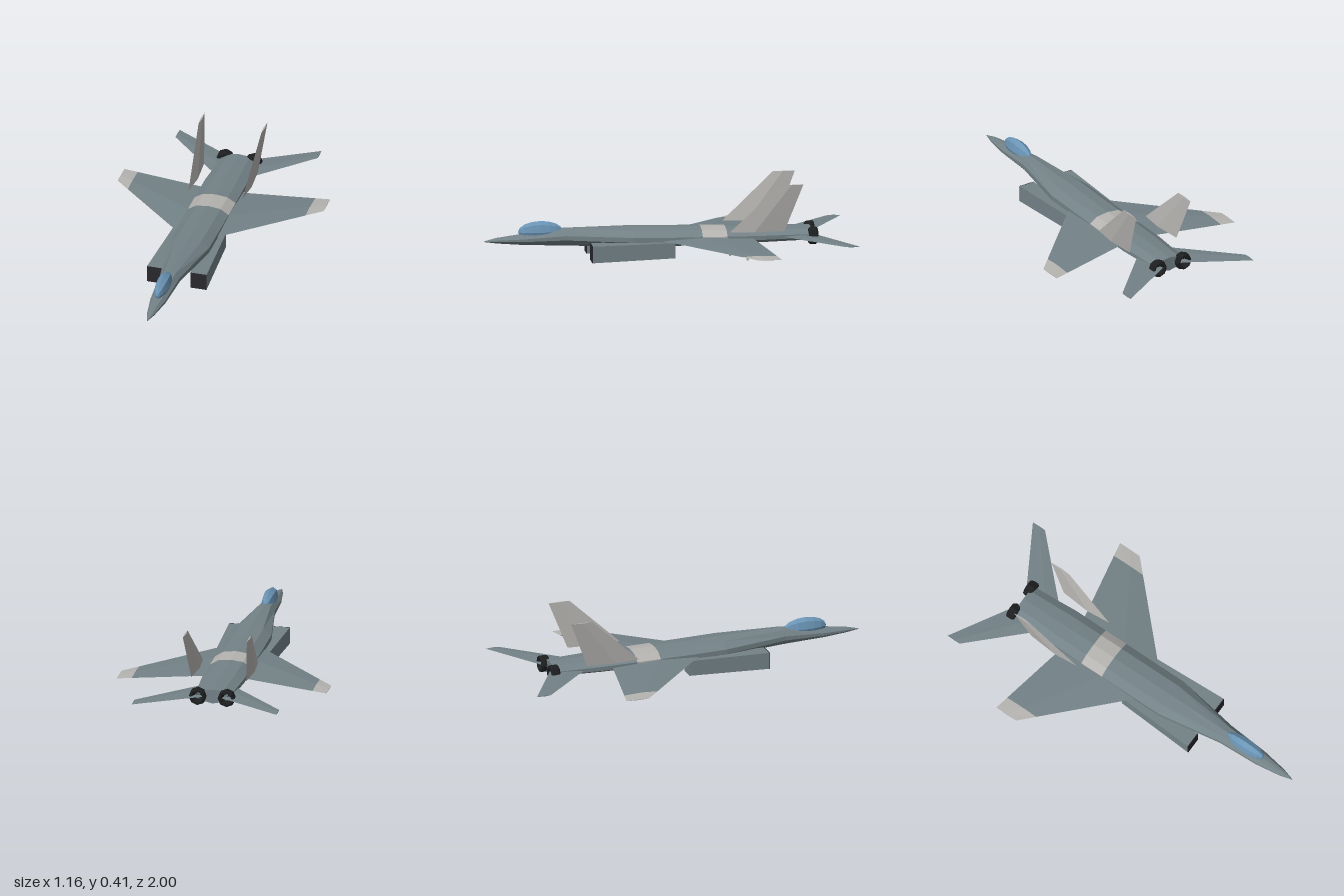
import * as THREE from 'three';

const mat = (color, side = THREE.FrontSide) =>
  new THREE.MeshStandardMaterial({ color, side, flatShading: true, roughness: 0.8 });
const HULL = mat(0x738287), PALE = mat(0xb5b3b0), GLASS = mat(0x6a94b5);
const DARK = mat(0x27272d), NOZZLE = mat(0x1c1e20, THREE.DoubleSide);

// Skins a list of equal-length rings and caps both ends; always winds outward.
function loft(rings) {
  const pos = [];
  const tri = (...pts) => pts.forEach((p) => pos.push(...p));
  const n = rings[0].length;
  for (let i = 0; i < rings.length - 1; i++) {
    for (let j = 0; j < n; j++) {
      const k = (j + 1) % n, a = rings[i], b = rings[i + 1];
      tri(a[j], a[k], b[k]);
      tri(a[j], b[k], b[j]);
    }
  }
  const last = rings[rings.length - 1];
  for (let j = 1; j < n - 1; j++) {
    tri(rings[0][0], rings[0][j + 1], rings[0][j]);
    tri(last[0], last[j], last[j + 1]);
  }
  // a negative signed volume means the faces point inward
  let volume = 0;
  const [a, b, c] = [0, 1, 2].map(() => new THREE.Vector3());
  for (let i = 0; i < pos.length; i += 9) {
    a.fromArray(pos, i); b.fromArray(pos, i + 3); c.fromArray(pos, i + 6);
    volume += a.dot(b.cross(c));
  }
  if (volume < 0) {
    for (let i = 0; i < pos.length; i += 9) {
      for (let k = 3; k < 6; k++) [pos[i + k], pos[i + k + 3]] = [pos[i + k + 3], pos[i + k]];
    }
  }
  const geo = new THREE.BufferGeometry();
  geo.setAttribute('position', new THREE.Float32BufferAttribute(pos, 3));
  geo.computeVertexNormals();
  return geo;
}

// Fuselage cross-section: half-width w, top t, bottom b at station z
function hullRing([z, w, t, b]) {
  const h = t - b, m = b + 0.5 * h;
  const half = [[0.6, t - 0.08 * h], [1, m + 0.14 * h], [1, m - 0.1 * h], [0.6, b + 0.16 * h]];
  return [[0, t, z], ...half.map(([x, y]) => [x * w, y, z]),
    [0, b, z], ...half.reverse().map(([x, y]) => [-x * w, y, z])];
}

// Diamond aerofoil in a flat wing: span x, height y, leading/trailing z, half-thickness
const wingRing = (s, [x, y, le, te, th]) => {
  const mid = le + (te - le) * 0.45;
  return [[s * x, y, le], [s * x, y + th, mid], [s * x, y, te], [s * x, y - th, mid]];
};

// Same aerofoil for an upright fin
const finRing = (s, [x, y, le, te, th]) => {
  const mid = le + (te - le) * 0.45;
  return [[s * x, y, le], [s * (x + th), y, mid], [s * x, y, te], [s * (x - th), y, mid]];
};

export function createModel() {
  const model = new THREE.Group();
  const add = (name, geo, material, parent = model) => {
    const mesh = new THREE.Mesh(geo, material);
    mesh.name = name;
    parent.add(mesh);
    return mesh;
  };

  // Fuselage: nose section, pale band, tail section
  const bandFront = [-0.18, 0.115, 0.154, 0.048], bandBack = [-0.315, 0.115, 0.151, 0.05];
  const hull = (name, rows, m) => add(name, loft(rows.map(hullRing)), m);
  hull('frontFuselage', [
    [1, 0.002, 0.102, 0.098], [0.93, 0.021, 0.119, 0.088], [0.79, 0.042, 0.137, 0.076],
    [0.56, 0.055, 0.166, 0.066], [0.2, 0.115, 0.163, 0.05], [0, 0.115, 0.158, 0.045], bandFront,
  ], HULL);
  hull('fuselageBand', [bandFront, bandBack], PALE);
  hull('rearFuselage', [bandBack, [-0.51, 0.115, 0.147, 0.054],
    [-0.62, 0.107, 0.144, 0.057], [-0.78, 0.098, 0.14, 0.061]], HULL);

  // Canopy
  const canopy = new THREE.SphereGeometry(1, 8, 8);
  canopy.rotateX(Math.PI / 2);
  canopy.scale(0.038, 0.058, 0.122);
  canopy.translate(0, 0.148, 0.692);
  add('canopy', canopy, GLASS);

  for (const s of [1, -1]) {
    const side = new THREE.Group();
    side.name = s > 0 ? 'leftSide' : 'rightSide';
    model.add(side);

    // Main wing with a pale tip
    const wing = (name, ring, rows, m) => add(name, loft(rows.map((r) => ring(s, r))), m, side);
    const outer = [0.5, 0.085, -0.342, -0.534, 0.005];
    wing('wing', wingRing, [[0.08, 0.101, 0.068, -0.45, 0.013], outer], HULL);
    wing('wingTip', wingRing, [outer, [0.58, 0.082, -0.42, -0.55, 0.002]], PALE);

    // Tailplane and upright fin
    wing('tailplane', wingRing,
      [[0.02, 0.102, -0.535, -0.78, 0.008], [0.4, 0.102, -0.92, -1, 0.003]], HULL);
    wing('fin', finRing,
      [[0.152, 0.145, -0.32, -0.62, 0.013], [0.177, 0.405, -0.6, -0.72, 0.005]], PALE);

    // Air intake: tapering box with a dark mouth
    const intakeRing = (z, inner, out, bottom, top) =>
      [[s * inner, bottom, z], [s * out, bottom, z], [s * out, top, z], [s * inner, top, z]];
    add('intake', loft([intakeRing(0.426, 0.077, 0.168, 0, 0.092),
      intakeRing(-0.025, 0.06, 0.146, 0.01, 0.094)]), HULL, side);
    add('intakeMouth', loft([intakeRing(0.43, 0.077, 0.168, 0, 0.092),
      intakeRing(0.426, 0.077, 0.168, 0, 0.092)]), DARK, side);

    // Engine nozzle: ring with a recessed inside
    const profile = [[0, 0.02], [0.04, 0.02], [0.048, 0.01], [0.048, -0.02],
      [0.042, -0.03], [0.032, -0.03], [0.02, 0], [0, 0]];
    const nozzle = new THREE.LatheGeometry(profile.map(([r, y]) => new THREE.Vector2(r, y)), 8);
    nozzle.rotateX(Math.PI / 2);
    nozzle.translate(s * 0.08, 0.101, -0.78);
    add('nozzle', nozzle, NOZZLE, side);

    // Small pylons under the wing
    for (let i = 0; i < 3; i++) {
      const pylon = add('pylon', new THREE.CylinderGeometry(0.006, 0.006, 0.034, 6), PALE, side);
      pylon.position.set(s * (0.205 + i * 0.115), 0.076 - i * 0.004, -0.22 - i * 0.08);
    }
  }
  return model;
}
